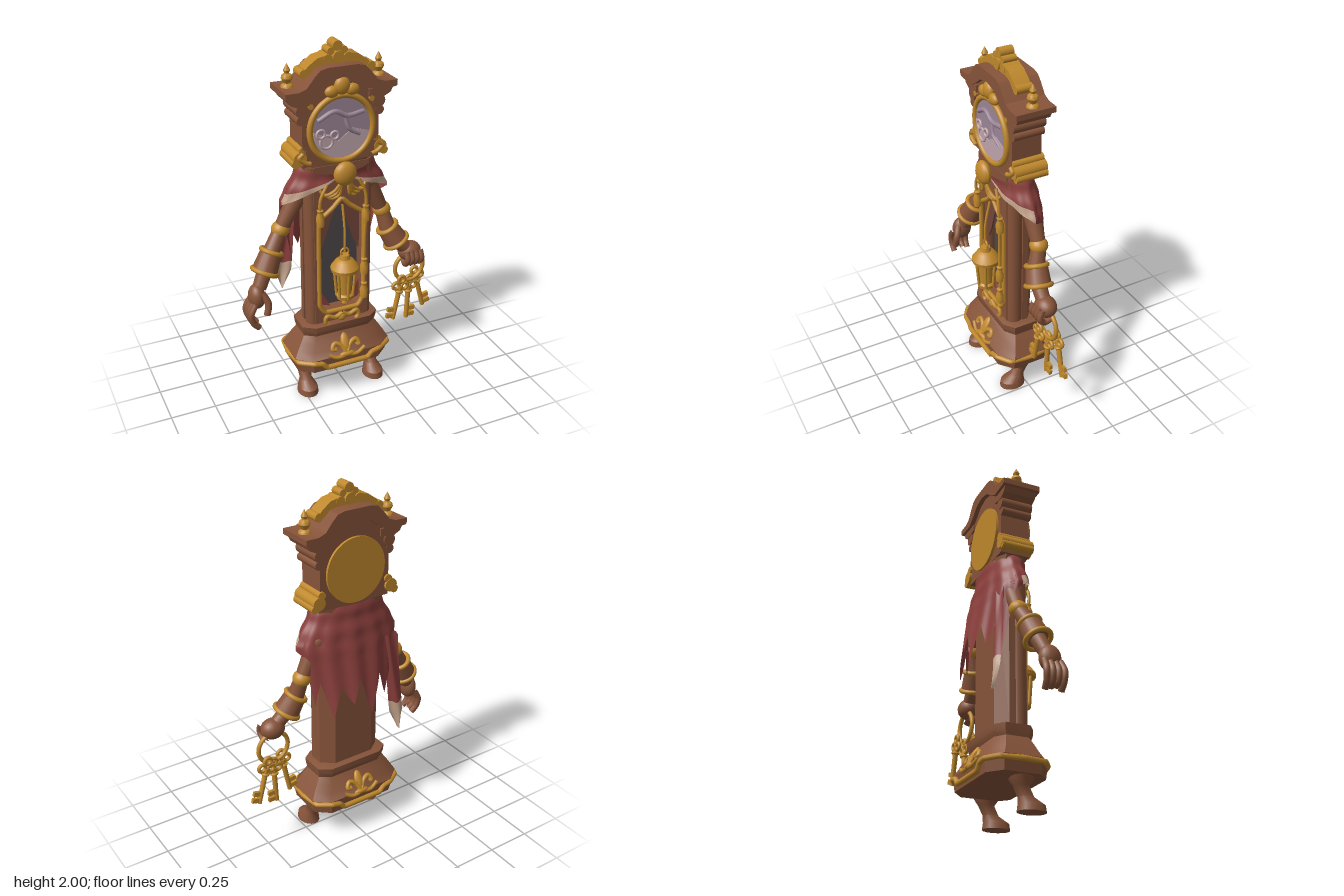
import * as THREE from 'three';
import { toCreasedNormals } from 'three/addons/utils/BufferGeometryUtils.js';

const mat = (name, color, side = THREE.FrontSide) => {
  const m = new THREE.MeshStandardMaterial({ color, side });
  m.name = name;
  return m;
};
const V = (p) => new THREE.Vector3(...p);

export function createModel() {
  const wood = mat('wood', 0x87543a), gold = mat('gold', 0xbf882c);
  const red = mat('red cloth', 0x8c403d, THREE.DoubleSide), cream = mat('cream cloth', 0xc4a48c, THREE.DoubleSide);
  const mauve = mat('mauve dial', 0x9c8698), pale = mat('pale mauve', 0xbfa5ac);
  const dark = mat('dark interior', 0x4d474a), drape = mat('drape', 0x74463a, THREE.DoubleSide);

  const root = new THREE.Group(), clock = new THREE.Group();
  root.name = 'clockFigure';
  clock.name = 'clock';
  clock.position.x = -0.02;
  root.add(clock);

  // helpers
  const add = (parent, name, geo, m, p = [0, 0, 0], s = [1, 1, 1], rz = 0) => {
    const o = new THREE.Mesh(geo, m);
    o.name = name;
    o.position.set(...p);
    o.scale.set(...s);
    o.rotation.z = rz;
    parent.add(o);
    return o;
  };
  const ball = (parent, name, m, p, s) => add(parent, name, new THREE.SphereGeometry(1, 20, 14), m, p, s);
  const tube = (parent, name, m, pts, r, closed = false, type = 'centripetal') =>
    add(parent, name, new THREE.TubeGeometry(new THREE.CatmullRomCurve3(pts.map(V), closed, type, 0.1), pts.length * 10, r, 8, closed), m);
  const disc = (parent, name, m, r, depth, p, seg = 24) =>
    add(parent, name, new THREE.CylinderGeometry(r, r, depth, seg).rotateX(Math.PI / 2), m, p);
  const limb = (parent, name, m, a, b, r0, r1) => {
    const d = V(b).sub(V(a));
    const o = add(parent, name, new THREE.CylinderGeometry(r1, r0, d.length(), 18), m, V(a).addScaledVector(d, 0.5).toArray());
    o.quaternion.setFromUnitVectors(new THREE.Vector3(0, 1, 0), d.normalize());
    return o;
  };
  const ring = (parent, name, m, p, dir, R, r) => {
    const o = add(parent, name, new THREE.TorusGeometry(R, r, 10, 28), m, p);
    o.quaternion.setFromUnitVectors(new THREE.Vector3(0, 0, 1), V(dir).normalize());
    return o;
  };
  const poly = (pts) => new THREE.Shape(pts.map(([x, y]) => new THREE.Vector2(x, y)));
  const mirror = (half) => [...half, ...half.filter((p) => p[0] !== 0).reverse().map(([x, y]) => [-x, y])];
  const slab = (parent, name, m, shape, depth, z = 0) =>
    add(parent, name, toCreasedNormals(new THREE.ExtrudeGeometry(shape, { depth, bevelEnabled: false, curveSegments: 16 }), 0.5), m, [0, 0, z]);
  // stacked cross-sections [y, half width, half depth, z centre] around a unit outline
  const loft = (parent, name, m, outline, secs, x = 0) => {
    const n = outline.length, pos = [], idx = [];
    secs.forEach(([y, hx, hz, zc = 0]) => outline.forEach(([ox, oz]) => pos.push(ox * hx, y, zc + oz * hz)));
    for (let j = 0; j < secs.length - 1; j++) for (let i = 0; i < n; i++) {
      const a = j * n + i, b = j * n + (i + 1) % n;
      idx.push(a, b, a + n, b, b + n, a + n);
    }
    const top = (secs.length - 1) * n;
    for (let i = 1; i < n - 1; i++) idx.push(0, i + 1, i, top, top + i, top + i + 1);
    const g = new THREE.BufferGeometry();
    g.setAttribute('position', new THREE.Float32BufferAttribute(pos, 3));
    g.setIndex(idx);
    return add(parent, name, toCreasedNormals(g, 0.65), m, [x, 0, 0]);
  };
  const oct = [[-0.72, 1], [0.72, 1], [1, 0.6], [1, -0.6], [0.72, -1], [-0.72, -1], [-1, -0.6], [-1, 0.6]];
  const round = Array.from({ length: 16 }, (_, i) => [Math.sin(i * Math.PI / 8), Math.cos(i * Math.PI / 8)]);

  // feet and flared base
  for (const s of [-1, 1]) loft(clock, 'leg', wood, round, [[0, 0.058, 0.075, 0.075], [0.035, 0.054, 0.07, 0.075], [0.07, 0.034, 0.042, 0.045],
    [0.12, 0.036, 0.042, 0.02], [0.16, 0.055, 0.07, 0.02], [0.22, 0.065, 0.09, 0.03]], s * 0.205);
  loft(clock, 'base', wood, oct, [[0.14, 0.16, 0.11], [0.17, 0.27, 0.16], [0.25, 0.285, 0.168], [0.29, 0.262, 0.142], [0.33, 0.238, 0.122],
    [0.365, 0.215, 0.1], [0.39, 0.22, 0.11], [0.425, 0.225, 0.112], [0.435, 0.19, 0.09]]);
  const trim = [];
  for (const f of [1, -1]) trim.push([-0.27 * f, 0.235, 0.12 * f], [-0.2 * f, 0.235, 0.168 * f], [-0.15 * f, 0.225, 0.172 * f], [-0.12 * f, 0.195, 0.172 * f],
    [0.12 * f, 0.195, 0.172 * f], [0.15 * f, 0.225, 0.172 * f], [0.2 * f, 0.235, 0.168 * f], [0.27 * f, 0.235, 0.12 * f], [0.285 * f, 0.235, 0]);
  tube(clock, 'baseTrim', gold, trim, 0.015, true, 'catmullrom');
  for (const f of [1, -1]) {
    const e = new THREE.Group();
    e.name = 'baseCrest';
    e.position.set(0, 0.28, 0.147 * f);
    e.rotation.set(-0.48 * f, f < 0 ? Math.PI : 0, 0);
    clock.add(e);
    ball(e, 'crestLeaf', gold, [0, 0.03, 0.004], [0.026, 0.055, 0.016]);
    ball(e, 'crestKnot', gold, [0, -0.035, 0.004], [0.045, 0.016, 0.016]);
    for (const s of [-1, 1]) {
      tube(e, 'crestScroll', gold, [[0, -0.035, 0.004], [s * 0.03, 0.02, 0.006], [s * 0.065, 0.035, 0.006], [s * 0.08, 0.005, 0.004], [s * 0.06, 0, 0.004]], 0.013);
      tube(e, 'crestVine', gold, [[0, -0.04, 0.004], [s * 0.06, -0.045, 0.004], [s * 0.11, -0.02, 0.004]], 0.011);
    }
  }

  // hollow body case with a pointed front opening
  const back = poly([[-0.19, 0], [0.19, 0], [0.19, 0.035], [0.12, 0.088], [-0.12, 0.088], [-0.19, 0.035]]);
  add(clock, 'bodyBack', new THREE.ExtrudeGeometry(back, { depth: 0.95, bevelEnabled: false }).rotateX(-Math.PI / 2), wood, [0, 0.42, 0.005]);
  const opening = mirror([[0.095, 0.5], [0.13, 0.56], [0.13, 1.06], [0.09, 1.1], [0.05, 1.13], [0, 1.18]]);
  const front = poly([[-0.155, 0.42], [0.155, 0.42], [0.155, 1.37], [-0.155, 1.37]]);
  front.holes.push(poly(opening));
  slab(clock, 'bodyFront', wood, front, 0.08, 0.004);
  slab(clock, 'bodyInterior', dark, poly(opening), 0.004, 0.005);
  tube(clock, 'openingFrame', gold, opening.map(([x, y]) => [x, y, 0.088]), 0.013, true, 'catmullrom');
  for (const s of [-1, 1]) {
    add(clock, 'cornerColumn', new THREE.CylinderGeometry(0.036, 0.036, 0.95, 16), wood, [s * 0.155, 0.895, 0.035], [1, 1, 1.2]);
    slab(clock, 'drape', drape, poly([[0, 1.16], [s * 0.13, 1.06], [s * 0.13, 0.82], [s * 0.09, 0.9], [s * 0.05, 1.02]]), 0.008, 0.04);
    slab(clock, 'lowerDrape', red, poly([[s * 0.13, 0.66], [s * 0.13, 0.54], [s * 0.05, 0.51]]), 0.008, 0.04);
    tube(clock, 'lowerScroll', gold, [[0, 0.42, 0.095], [s * 0.05, 0.41, 0.095], [s * 0.1, 0.44, 0.095], [s * 0.09, 0.475, 0.095], [s * 0.04, 0.46, 0.095], [0, 0.48, 0.095]], 0.012);
  }
  ball(clock, 'lowerKnot', gold, [0, 0.455, 0.095], [0.025, 0.025, 0.016]);

  // hanging lantern
  tube(clock, 'pendulumRod', gold, [[0, 1.15, 0.1], [0, 1, 0.13], [0, 0.88, 0.13]], 0.007);
  const lathe = (parent, name, pts, p, seg = 16) =>
    add(parent, name, toCreasedNormals(new THREE.LatheGeometry(pts.map(([x, y]) => new THREE.Vector2(x, y)), seg), 0.7), gold, p);
  lathe(clock, 'lantern', [[0, 0.55], [0.016, 0.565], [0.01, 0.585], [0.045, 0.6], [0.048, 0.62], [0.036, 0.63], [0.045, 0.765], [0.075, 0.77], [0.078, 0.79],
    [0.05, 0.83], [0.03, 0.84], [0.025, 0.865], [0, 0.87]], [0, 0, 0.13]);
  for (let i = 0; i < 6; i++) {
    const x = Math.sin(i * Math.PI / 3), z = Math.cos(i * Math.PI / 3);
    limb(clock, 'lanternPost', gold, [x * 0.044, 0.61, 0.13 + z * 0.044], [x * 0.058, 0.78, 0.13 + z * 0.058], 0.008, 0.008);
  }
  ring(clock, 'lanternLoop', gold, [0, 0.88, 0.13], [0, 0, 1], 0.022, 0.006);

  // side cords with tassels
  const tassel = (x, y) => lathe(clock, 'tassel', [[0, -0.05], [0.02, -0.05], [0.023, 0], [0.014, 0.025], [0.018, 0.04], [0, 0.055]], [x, y, 0.11], 12);
  tube(clock, 'cord', gold, [[0.09, 1.28, 0.11], [0.125, 1.2, 0.115], [0.125, 0.9, 0.11], [0.125, 0.62, 0.11]], 0.009);
  tube(clock, 'cord', gold, [[-0.09, 1.28, 0.11], [-0.13, 1.2, 0.115], [-0.13, 1.1, 0.11]], 0.009);
  [[0.13, 1.08], [0.125, 0.76], [0.125, 0.61], [-0.13, 1.1]].forEach((t) => tassel(...t));

  // head case, arched pediment and dial
  loft(clock, 'neck', wood, oct, [[1.26, 0.18, 0.075], [1.38, 0.2, 0.08], [1.42, 0.215, 0.082]]);
  slab(clock, 'headCase', wood, poly(mirror([[0.21, 1.38], [0.21, 1.76], [0.15, 1.8], [0, 1.85]])), 0.165, -0.083);
  slab(clock, 'pediment', wood, poly(mirror([[0, 1.835], [0.07, 1.82], [0.13, 1.775], [0.18, 1.745], [0.29, 1.75], [0.3, 1.755], [0.3, 1.785], [0.23, 1.785],
    [0.19, 1.8], [0.15, 1.85], [0.12, 1.88], [0.08, 1.89], [0, 1.89]])), 0.216, -0.108);
  for (const s of [-1, 1]) {
    slab(clock, 'cornice', wood, poly([[s * 0.15, 1.75], [s * 0.285, 1.75], [s * 0.27, 1.72], [s * 0.23, 1.7], [s * 0.15, 1.71]]), 0.186, -0.093);
    disc(clock, 'corbelScroll', wood, 0.034, 0.18, [s * 0.208, 1.68, 0]);
    disc(clock, 'corbelScroll', wood, 0.024, 0.17, [s * 0.214, 1.63, 0]);
    disc(clock, 'sideScroll', gold, 0.036, 0.182, [s * 0.222, 1.43, -0.006]);
    disc(clock, 'sideScrollTop', gold, 0.022, 0.176, [s * 0.205, 1.47, -0.006]);
    disc(clock, 'sideScrollEnd', gold, 0.022, 0.178, [s * 0.245, 1.405, -0.006]);
    tube(clock, 'scrollCurl', gold, [[s * 0.17, 1.4, 0.09], [s * 0.2, 1.41, 0.09], [s * 0.23, 1.44, 0.09], [s * 0.21, 1.46, 0.09]], 0.012);
    lathe(clock, 'finial', [[0, 0], [0.034, 0], [0.03, 0.015], [0.016, 0.025], [0.03, 0.05], [0.026, 0.065], [0.012, 0.075], [0.018, 0.09], [0, 0.125]], [s * 0.248, 1.78, -0.008]);
    slab(clock, 'crestArch', gold, poly([[s * 0.02, 1.885], [s * 0.1, 1.885], [s * 0.15, 1.85], [s * 0.185, 1.83], [s * 0.195, 1.85], [s * 0.16, 1.89],
      [s * 0.11, 1.925], [s * 0.06, 1.935], [s * 0.02, 1.92]]), 0.084, -0.034);
    disc(clock, 'crestCurl', gold, 0.022, 0.088, [s * 0.182, 1.855, 0.008]);
    disc(clock, 'crestCurl', gold, 0.024, 0.09, [s * 0.055, 1.915, 0.008]);
    disc(clock, 'crestLobe', gold, 0.019, 0.074, [s * 0.036, 1.95, 0.008]);
    ball(clock, 'dialCrestLobe', gold, [s * 0.055, 1.765, 0.098], [0.038, 0.03, 0.022]);
    disc(clock, 'dialStud', gold, 0.014, 0.02, [s * 0.165, 1.7, 0.085]);
  }
  disc(clock, 'crestStem', gold, 0.03, 0.1, [0, 1.92, 0.008]);
  disc(clock, 'crestTip', gold, 0.026, 0.076, [0, 1.974, 0.008]);
  ball(clock, 'dialCrest', gold, [0, 1.79, 0.098], [0.042, 0.046, 0.026]);
  disc(clock, 'dial', mauve, 0.17, 0.01, [0, 1.565, 0.086], 48);
  add(clock, 'dialRim', new THREE.TorusGeometry(0.173, 0.016, 10, 56), gold, [0, 1.565, 0.09]);
  disc(clock, 'backPlate', gold, 0.176, 0.016, [0, 1.565, -0.089], 48);
  // dial relief: brow folds, cheek panel and small gears
  const lower = new THREE.Shape();
  lower.absarc(0, 1.565, 0.155, Math.PI * 1.0, Math.PI * 1.93);
  lower.lineTo(0.06, 1.56);
  lower.lineTo(-0.02, 1.5);
  slab(clock, 'dialLowerPanel', pale, lower, 0.005, 0.09);
  for (const [x, y, r] of [[-0.085, 1.505, 0.034], [-0.115, 1.55, 0.022], [-0.04, 1.535, 0.02]]) ring(clock, 'dialGear', pale, [x, y, 0.095], [0, 0, 1], r, 0.007);
  tube(clock, 'dialFold', mauve, [[-0.13, 1.62, 0.09], [-0.04, 1.66, 0.095], [0.03, 1.63, 0.095], [0.12, 1.64, 0.09]], 0.013);
  tube(clock, 'dialFold', mauve, [[0.02, 1.62, 0.09], [0.04, 1.56, 0.095], [0.1, 1.52, 0.09]], 0.011);

  // ragged cape
  const hem = [[0, 1.3], [0.06, 1.25], [0.15, 1.2], [0.25, 1.15], [0.285, 1.12], [0.31, 0.84], [0.345, 0.98], [0.38, 0.77], [0.42, 0.95], [0.46, 0.84],
    [0.49, 0.98], [0.53, 0.76], [0.57, 0.97], [0.61, 0.83], [0.64, 0.96], [0.68, 0.8], [0.715, 1.12], [0.75, 1.15], [0.85, 1.19], [0.94, 1.25], [1, 1.3]];
  const cape = (u, v) => {
    let i = 0;
    while (i < hem.length - 2 && u > hem[i + 1][0]) i++;
    const [u0, y0] = hem[i], [u1, y1] = hem[i + 1];
    const a = 0.15 + u * (Math.PI * 2 - 0.3), c = Math.cos(a);
    const top = 1.38 - 0.05 * Math.max(0, c), y = top + (y0 + (y1 - y0) * (u - u0) / (u1 - u0) - top) * v;
    const d = 1.38 - y, fold = 0.006 * Math.sin(13 * a) * Math.min(1, d * 4) + 0.005 * Math.sin(d * 60) * Math.max(0, 1 - d * 3);
    const rx = 0.2 + Math.min(d, 0.2) * 0.53 - Math.max(0, d - 0.2) * 0.12 + fold;
    const rz = (c > 0 ? 0.112 : 0.095 + 0.17 * d) + fold;
    return [rx * Math.sin(a), y, rz * c];
  };
  const cloth = (name, m, fn, u0, u1, v0, v1, nu, nv) => {
    const g = new THREE.PlaneGeometry(1, 1, nu, nv), p = g.attributes.position;
    for (let i = 0; i < p.count; i++) p.setXYZ(i, ...fn(u0 + (u1 - u0) * (p.getX(i) + 0.5), v0 + (v1 - v0) * (0.5 - p.getY(i))));
    g.computeVertexNormals();
    add(clock, name, g, m);
  };
  cloth('capeBack', red, cape, 0.24, 0.76, 0, 1, 104, 24);
  for (const [a, b] of [[0, 0.24], [0.76, 1]]) {
    cloth('capeFront', red, cape, a, b, 0, 0.72, 24, 14);
    cloth('capeHem', cream, cape, a, b, 0.72, 1, 24, 5);
  }
  const tail = (u, v) => [-0.23 - 0.03 * v + (u - 0.5) * 0.09 * (v < 0.8 ? 1 : (1 - v) * 5), 1.13 - 0.56 * v + 0.025 * Math.sin(u * 9) * (1 - v), -0.1 - 0.05 * v + 0.012 * Math.sin(u * 6 + v * 3)];
  cloth('capeTail', red, tail, 0, 1, 0, 0.7, 10, 12);
  cloth('capeTailTip', cream, tail, 0, 1, 0.7, 1, 10, 10);

  // brooch and swags
  ball(clock, 'brooch', gold, [0, 1.335, 0.135], [0.062, 0.065, 0.036]);
  ring(clock, 'broochRim', gold, [0, 1.335, 0.135], [0, 0, 1], 0.054, 0.01);
  for (const s of [-1, 1]) for (let i = 0; i < 3; i++)
    tube(clock, 'swag', gold, [[s * 0.02, 1.29, 0.135], [s * (0.03 + i * 0.015), 1.24 - 0.012 * (2 - i), 0.125], [s * (0.06 + i * 0.022), 1.2 + i * 0.012, 0.115], [s * (0.08 + i * 0.025), 1.2 + i * 0.025, 0.1]], 0.009);

  // arms: shoulder, elbow, cuff ends and wrist
  const arm = (name, sh, el, c0, c1, wr) => {
    const g = new THREE.Group(), dir = V(c1).sub(V(c0)).toArray();
    g.name = name;
    root.add(g);
    limb(g, 'upperArm', wood, sh, el, 0.052, 0.038);
    ball(g, 'shoulder', wood, sh, [0.056, 0.056, 0.056]);
    ball(g, 'elbow', gold, el, [0.05, 0.046, 0.05]);
    limb(g, 'forearm', wood, el, c0, 0.038, 0.046);
    limb(g, 'cuff', wood, c0, c1, 0.058, 0.07);
    ring(g, 'cuffRing', gold, c0, dir, 0.056, 0.013);
    ring(g, 'cuffRing', gold, c1, dir, 0.068, 0.013);
    limb(g, 'wrist', wood, c1, wr, 0.042, 0.038);
    return g;
  };
  const openArm = arm('rightArm', [-0.21, 1.2, -0.03], [-0.32, 1.005, -0.03], [-0.385, 0.9, 0], [-0.435, 0.8, 0.02], [-0.475, 0.72, 0.04]);
  ball(openArm, 'palm', wood, [-0.495, 0.68, 0.05], [0.045, 0.07, 0.058]);
  for (let i = 0; i < 4; i++)
    tube(openArm, 'finger', wood, [[-0.515, 0.66, 0.01 + i * 0.028], [-0.545, 0.6, 0.005 + i * 0.032], [-0.535, 0.55, 0.01 + i * 0.03], [-0.505, 0.515 + (i % 3) * 0.01, 0.015 + i * 0.028]], 0.017);
  tube(openArm, 'thumb', wood, [[-0.475, 0.71, 0.08], [-0.45, 0.65, 0.105], [-0.46, 0.59, 0.11]], 0.019);
  const fistArm = arm('leftArm', [0.18, 1.2, -0.03], [0.275, 1.005, -0.03], [0.3, 0.9, -0.005], [0.35, 0.81, 0.01], [0.42, 0.745, 0.015]);
  ball(fistArm, 'fist', wood, [0.435, 0.73, 0.015], [0.068, 0.058, 0.058]);
  for (let i = 0; i < 4; i++)
    tube(fistArm, 'finger', wood, [[0.395 + i * 0.028, 0.75, 0.06], [0.395 + i * 0.029, 0.7, 0.075], [0.395 + i * 0.028, 0.665, 0.045], [0.4 + i * 0.026, 0.675, 0.01]], 0.017);

  // key ring with three keys
  ring(root, 'keyRing', gold, [0.442, 0.62, 0.005], [0, 0, 1], 0.09, 0.012);
  [[0.385, 0.53, 0.02, -0.2], [0.448, 0.51, 0.0, -0.05], [0.5, 0.545, -0.025, 0.25]].forEach(([x, y, z, rz]) => {
    const k = new THREE.Group();
    k.name = 'key';
    k.position.set(x, y, z);
    k.rotation.z = rz;
    root.add(k);
    for (const [bx, by] of [[0, 0.022], [-0.027, -0.02], [0.027, -0.02]]) ring(k, 'keyBow', gold, [bx, by, 0], [0, 0, 1], 0.02, 0.01);
    limb(k, 'keyShaft', gold, [0, -0.02, 0], [0, -0.235, 0], 0.015, 0.013);
    ring(k, 'keyCollar', gold, [0, -0.055, 0], [0, 1, 0], 0.016, 0.008);
    for (const by of [-0.175, -0.215]) add(k, 'keyBit', new THREE.BoxGeometry(0.045, 0.026, 0.018), gold, [x > 0.44 && x < 0.47 ? 0.026 : Math.sign(rz) * 0.026, by, 0]);
  });
  return root;
}
